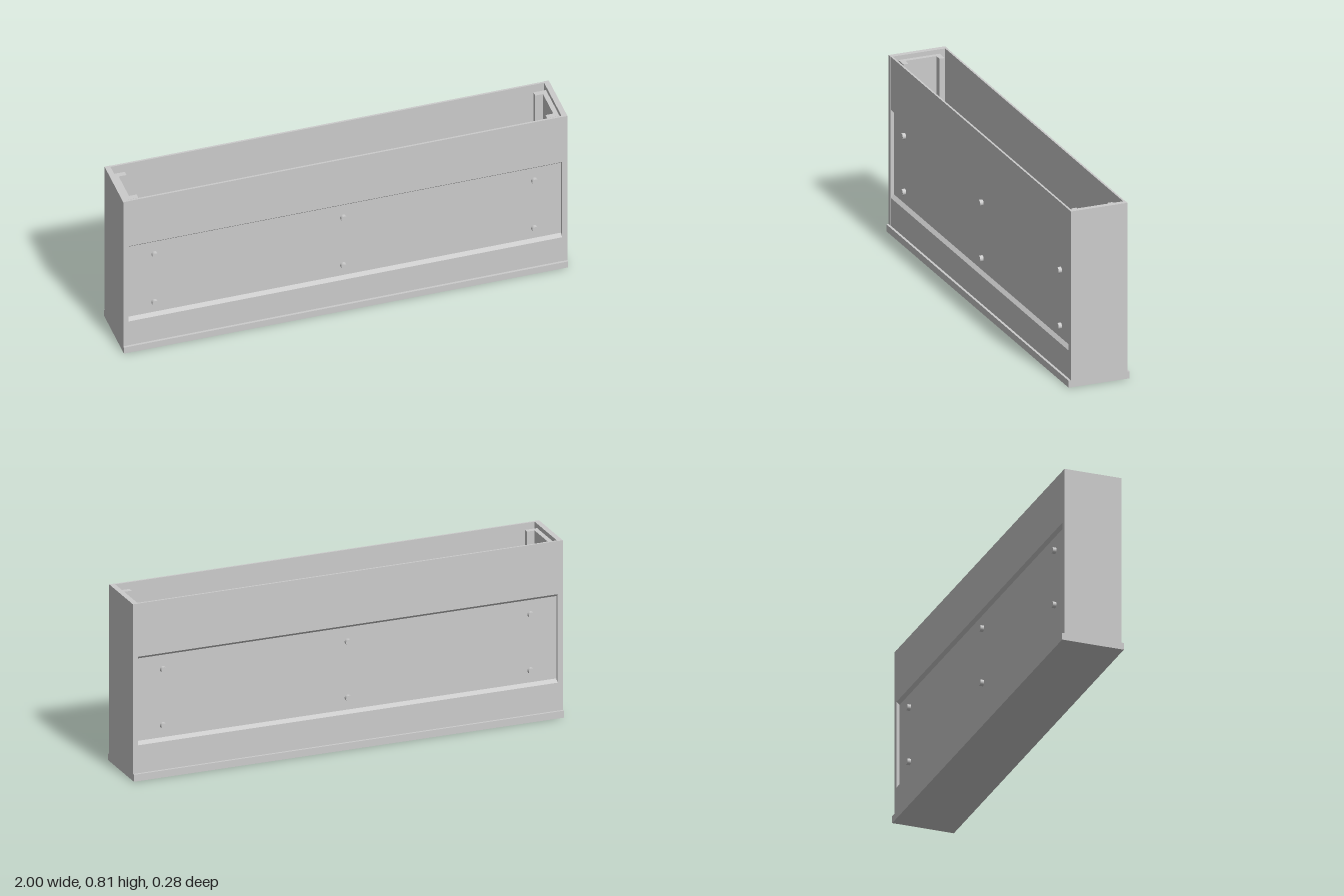
import * as THREE from 'three';

const mat = new THREE.MeshStandardMaterial({ color: 0xcccccc });

export function createModel() {
  const model = new THREE.Group();
  const add = (name, geo, x, y, z, parent = model) => {
    const m = new THREE.Mesh(geo, mat);
    m.name = name;
    m.position.set(x, y, z);
    parent.add(m);
    return m;
  };
  const H = 0.81, baseH = 0.032, end = 0.024;

  // Base plate, slightly wider than the walls
  add('basePlate', new THREE.BoxGeometry(2, baseH, 0.284), 0, baseH / 2, 0);

  // Pressed side sheet: outer line as [z, y], inner line offset by the thickness
  const outer = [[0.131, baseH], [0.131, 0.16], [0.117, 0.175], [0.117, 0.553], [0.131, 0.566], [0.131, H]];
  const t = 0.009;
  const inner = outer.map(([z, y]) => [z - t, y]).reverse();
  const profile = new THREE.Shape([...outer, ...inner].map(([z, y]) => new THREE.Vector2(z, y)));
  const length = 2 - 2 * end;
  const panelGeo = new THREE.ExtrudeGeometry(profile, { depth: length, bevelEnabled: false });
  panelGeo.translate(0, 0, -length / 2);
  panelGeo.rotateY(-Math.PI / 2); // profile z becomes world z, extrusion runs along x

  // Fixing bolt lying along z
  const boltGeo = new THREE.CylinderGeometry(0.014, 0.014, 0.02, 24);
  boltGeo.rotateX(Math.PI / 2);

  // Front and back are the same wall turned half round
  for (const [name, turn] of [['frontWall', 0], ['backWall', Math.PI]]) {
    const wall = new THREE.Group();
    wall.name = name;
    wall.rotation.y = turn;
    add('pressedPanel', panelGeo, 0, 0, 0, wall);
    for (const x of [-0.855, -0.005, 0.855])
      for (const y of [0.23, 0.487])
        add('bolt', boltGeo, turn ? -x : x, y, 0.123, wall);
    model.add(wall);
  }

  // End plates with an upright channel on the inside of each
  const top = 0.79;
  const channel = new THREE.Shape([
    [0.977, -0.096], [0.92, -0.096], [0.92, -0.072], [0.955, -0.072],
    [0.955, 0.072], [0.92, 0.072], [0.92, 0.096], [0.977, 0.096],
  ].map(([x, z]) => new THREE.Vector2(x, z)));
  const channelGeo = new THREE.ExtrudeGeometry(channel, { depth: top - baseH, bevelEnabled: false });
  channelGeo.rotateX(-Math.PI / 2);

  for (const side of [1, -1]) {
    const name = side > 0 ? 'left' : 'right';
    add(name + 'EndPlate', new THREE.BoxGeometry(end, H - baseH, 0.264), side * (1 - end / 2), (H + baseH) / 2, 0);
    add(name + 'Channel', channelGeo, 0, baseH, 0).rotation.y = side > 0 ? 0 : Math.PI;
  }
  return model;
}
